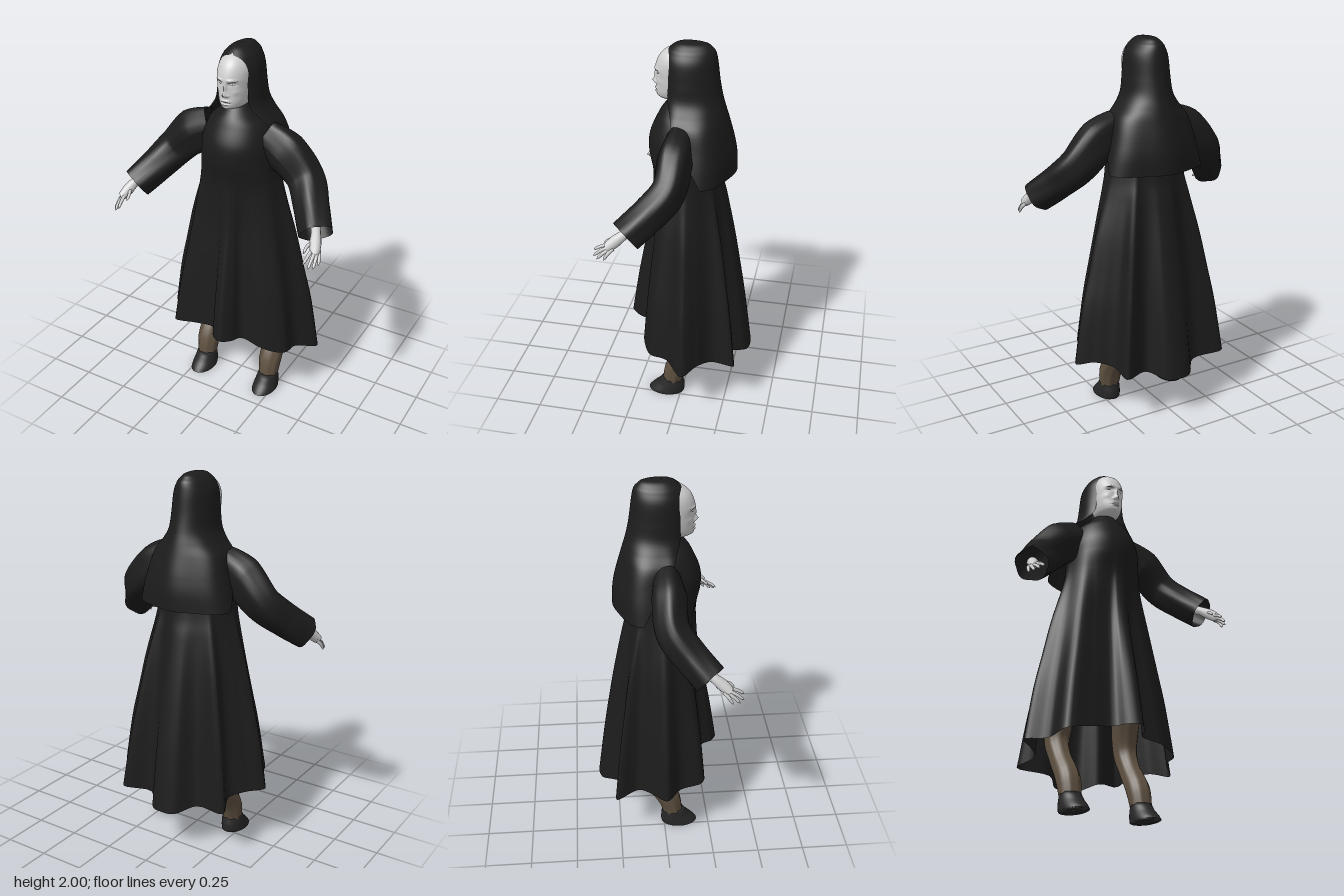
import * as THREE from 'three';
import { ParametricGeometry } from 'three/addons/geometries/ParametricGeometry.js';

const mat = (name, color, side = THREE.FrontSide) => {
  const m = new THREE.MeshStandardMaterial({ color, side });
  m.name = name;
  return m;
};

// Smooth interpolation down the rows of a cross-section table, v from 0 to 1
function sample(table, v) {
  const n = table.length - 1;
  const i = Math.min(n - 1, Math.floor(v * n));
  const t = v * n - i;
  const row = k => table[Math.max(0, Math.min(n, k))];
  return table[i].map((p1, c) => {
    const p0 = row(i - 1)[c], p2 = row(i + 1)[c], p3 = row(i + 2)[c];
    return p1 + 0.5 * t * (p2 - p0 + t * (2 * p0 - 5 * p1 + 4 * p2 - p3 + t * (3 * (p1 - p2) + p3 - p0)));
  });
}

// Tube along a path whose radius follows a list, with optional lengthwise folds
// and a depth flattening that fades out towards the end
function taperTube(points, radii, n, sides, fold = 0, count = 5, flat = 1) {
  const path = new THREE.CatmullRomCurve3(points.map(p => new THREE.Vector3(...p)));
  const geo = new THREE.TubeGeometry(path, n, 1, sides);
  const pos = geo.attributes.position;
  const p = new THREE.Vector3();
  for (let i = 0; i <= n; i++) {
    const c = path.getPointAt(i / n);
    const k = path.getUtoTmapping(i / n) * (radii.length - 1);
    const a = Math.min(radii.length - 2, Math.floor(k));
    const r = THREE.MathUtils.lerp(radii[a], radii[a + 1], k - a);
    for (let j = 0; j <= sides; j++) {
      const id = i * (sides + 1) + j;
      const f = r * (1 + fold * Math.cos(count * j / sides * Math.PI * 2 + i * 0.15));
      p.fromBufferAttribute(pos, id).sub(c).multiplyScalar(f);
      p.z *= THREE.MathUtils.lerp(flat, 1, i / n);
      p.add(c);
      pos.setXYZ(id, p.x, p.y, p.z);
    }
  }
  if (fold) geo.computeVertexNormals();
  return geo;
}

// Head cross-sections: y, half width, front depth, back depth (around z = 0.05)
const HEAD = [
  [1.975, 0.003, 0.003, 0.003], [1.965, 0.042, 0.05, 0.06], [1.935, 0.07, 0.088, 0.09],
  [1.9, 0.084, 0.108, 0.1], [1.86, 0.087, 0.118, 0.1], [1.82, 0.086, 0.112, 0.1],
  [1.78, 0.082, 0.112, 0.09], [1.74, 0.073, 0.114, 0.07], [1.715, 0.059, 0.105, 0.06],
  [1.70, 0.035, 0.07, 0.04], [1.695, 0.003, 0.003, 0.003],
];
// Facial relief: x, y, spread x, spread y, height
const RELIEF = [
  [0, 1.789, 0.011, 0.013, 0.02], [0, 1.82, 0.009, 0.025, 0.012], [0.014, 1.783, 0.008, 0.007, 0.008],
  [0.034, 1.84, 0.017, 0.01, -0.013], [0.034, 1.836, 0.01, 0.006, 0.007], [0.034, 1.862, 0.022, 0.007, 0.006],
  [0, 1.754, 0.02, 0.005, 0.008], [0, 1.736, 0.017, 0.005, 0.008], [0, 1.745, 0.022, 0.003, -0.007],
  [0, 1.714, 0.018, 0.01, 0.005], [0.05, 1.8, 0.014, 0.014, 0.004],
];
function headPoint(angle, v, out) {
  const [y, rx, zf, zb] = sample(HEAD, v);
  const c = Math.cos(angle);
  const x = rx * Math.sin(angle);
  let z = 0.05 + c * (c > 0 ? zf : zb);
  if (c > 0) for (const [bx, by, sx, sy, h] of RELIEF) {
    z += h * Math.exp(-(((Math.abs(x) - bx) / sx) ** 2) - ((y - by) / sy) ** 2);
  }
  return out.set(x, y, z);
}

// Robe cross-sections: drop, half width, front, back, fold strength
const ROBE = [
  [0, 0.06, 0.085, 0.05, 0], [0.04, 0.11, 0.13, 0.1, 0], [0.08, 0.165, 0.16, 0.13, 0],
  [0.15, 0.2, 0.198, 0.15, 0], [0.22, 0.207, 0.202, 0.16, 0.06], [0.3, 0.22, 0.182, 0.175, 0.18],
  [0.37, 0.24, 0.178, 0.196, 0.33], [0.51, 0.288, 0.187, 0.228, 0.58], [0.66, 0.328, 0.217, 0.257, 0.75],
  [0.8, 0.364, 0.245, 0.28, 0.9], [1, 0.4, 0.28, 0.31, 1],
];
// Hem outline, from the front round by the left
const HEM = [
  [0.04, 0.41, 0.315], [0.085, 0.4, 0.27], [0.115, 0.39, 0.205], [0.23, 0.37, 0.205], [0.3, 0.35, 0.18],
  [0.355, 0.34, 0.14], [0.37, 0.33, 0.05], [0.46, 0.3, -0.05], [0.38, 0.32, -0.12], [0.3, 0.3, -0.19],
  [0.29, 0.28, -0.31], [0.14, 0.26, -0.25], [0.06, 0.23, -0.345], [0, 0.23, -0.36], [-0.075, 0.23, -0.345],
  [-0.16, 0.26, -0.25], [-0.34, 0.28, -0.27], [-0.3, 0.31, -0.15], [-0.36, 0.33, -0.08], [-0.44, 0.34, 0],
  [-0.35, 0.34, 0.08], [-0.32, 0.36, 0.205], [-0.18, 0.39, 0.212], [-0.06, 0.41, 0.22], [-0.015, 0.41, 0.29],
];
const ellipse = (a, rx, zf, zb) => 1 / Math.hypot(Math.sin(a) / rx, Math.cos(a) / (Math.cos(a) > 0 ? zf : zb));
function robeGeometry() {
  const hem = new THREE.CatmullRomCurve3(HEM.map(p => new THREE.Vector3(...p)), true);
  return new ParametricGeometry((u, v, out) => {
    const h = hem.getPoint(1 - u);
    const a = Math.atan2(h.x, h.z);
    const [t, rx, zf, zb, w] = sample(ROBE, v);
    const bulge = Math.hypot(h.x, h.z) / ellipse(a, 0.4, 0.28, 0.31) - 1;
    const r = ellipse(a, rx, zf, zb) * (1 + bulge * w);
    out.set(r * Math.sin(a), 1.715 - (1.715 - h.y) * t, r * Math.cos(a));
  }, 125, 50);
}

// Veil cross-sections: y, half width, back, front, angle of the opening
const VEIL = [
  [2, 0.002, 0.002, 0.002, 0], [1.994, 0.04, 0.09, 0.055, 0], [1.972, 0.068, 0.122, 0.09, 0.05],
  [1.95, 0.085, 0.137, 0.11, 0.52], [1.9, 0.106, 0.147, 0.125, 0.78], [1.8, 0.117, 0.16, 0.125, 0.8],
  [1.72, 0.127, 0.175, 0.125, 0.8], [1.66, 0.16, 0.19, 0.12, 1], [1.6, 0.205, 0.205, 0.12, 1.2],
  [1.5, 0.235, 0.23, 0.1, 1.55], [1.42, 0.258, 0.243, 0.1, 1.8], [1.33, 0.28, 0.245, 0.1, 2],
];
function veilGeometry() {
  return new ParametricGeometry((u, v, out) => {
    const [y, rx, zb, zf, edge] = sample(VEIL, v);
    const open = Math.max(0, edge);
    const a = -THREE.MathUtils.lerp(open, Math.PI * 2 - open, u);
    const c = Math.cos(a);
    const drape = THREE.MathUtils.smoothstep(1.8 - y, 0, 0.3);
    const f = 1 + drape * (0.035 * Math.cos(6 * a) + 0.07 * Math.sin(2 * a) ** 2);
    out.set(rx * Math.sin(a) * f, y, c * (c > 0 ? zf : zb) * f);
  }, 72, 44);
}

// Hoof cross-sections: y, half width, centre z, half length
const HOOF = [[0.095, 0.002, 0.05, 0.002], [0.09, 0.053, 0.05, 0.056], [0.055, 0.06, 0.058, 0.073],
  [0.02, 0.066, 0.076, 0.093], [0, 0.067, 0.086, 0.1], [0, 0.002, 0.086, 0.002]];

export function createModel() {
  const cloth = mat('black cloth', 0x1c1c1c, THREE.DoubleSide);
  const skin = mat('pale skin', 0xcfcfcf);
  const fur = mat('brown legs', 0x5f5141);
  const horn = mat('dark hoof', 0x262626);
  const line = mat('brow grey', 0x3c3c3c, THREE.DoubleSide);

  const model = new THREE.Group();
  const add = (name, geo, m, parent = model) => {
    const mesh = new THREE.Mesh(geo, m);
    mesh.name = name;
    parent.add(mesh);
    return mesh;
  };

  add('robe', robeGeometry(), cloth);
  add('veil', veilGeometry(), cloth);
  add('head', new ParametricGeometry((u, v, o) => headPoint(-u * Math.PI * 2, v, o), 128, 110), skin);
  add('neck', new THREE.CylinderGeometry(0.05, 0.055, 0.14, 24), skin).position.set(0, 1.68, 0.03);

  for (const s of [1, -1]) {
    const side = s > 0 ? 'left' : 'right';
    const P = list => list.map(([x, y, z]) => [x * s, y, z]);

    // Brow and eye line lying on the face
    const strip = (a0, a1, v0, v1, w) => new ParametricGeometry((u, v, o) => {
      const taper = w * Math.sin(Math.PI * (0.12 + 0.85 * u));
      headPoint(s * (a0 + (a1 - a0) * u), v0 + (v1 - v0) * u + taper * (v - 0.5), o);
      o.z += 0.0015;
    }, 14, 2);
    add(side + 'Brow', strip(0.16, 0.8, 0.424, 0.402, 0.01), line);
    add(side + 'EyeLine', strip(0.24, 0.58, 0.458, 0.452, 0.008), line);

    // Sleeve
    add(side + 'Sleeve', taperTube(
      P([[0.15, 1.54, 0.015], [0.26, 1.482, 0.017], [0.38, 1.365, 0.027], [0.46, 1.27, 0.11], [0.533, 1.187, 0.2]]),
      [0.1, 0.118, 0.1, 0.09, 0.085], 28, 30, 0.05, 5, 0.66), cloth);

    // Hand
    const hand = new THREE.Group();
    hand.name = side + 'Hand';
    model.add(hand);
    add('palm', taperTube(
      P([[0.5, 1.23, 0.15], [0.535, 1.195, 0.21], [0.553, 1.165, 0.25], [0.568, 1.135, 0.285], [0.572, 1.125, 0.295]]),
      [0.024, 0.024, 0.03, 0.025, 0.004], 14, 12), skin, hand);
    const fingers = {
      thumb: [[0.545, 1.175, 0.245], [0.525, 1.155, 0.285], [0.522, 1.13, 0.315]],
      index: [[0.553, 1.147, 0.28], [0.548, 1.123, 0.33], [0.543, 1.1, 0.362]],
      middle: [[0.566, 1.14, 0.275], [0.569, 1.11, 0.325], [0.568, 1.08, 0.358]],
      ring: [[0.573, 1.135, 0.268], [0.583, 1.105, 0.308], [0.585, 1.073, 0.337]],
      little: [[0.575, 1.137, 0.255], [0.592, 1.108, 0.282], [0.596, 1.077, 0.3]],
    };
    for (const [name, pts] of Object.entries(fingers)) {
      add(name, taperTube(P(pts), [0.011, 0.01, 0.009, 0.009, 0.008, 0.008, 0.007, 0.001], 14, 8), skin, hand);
    }

    // Backward-bent leg and hoof
    add(side + 'Leg', taperTube(
      P([[0.17, 0.85, 0], [0.19, 0.6, -0.06], [0.207, 0.4, -0.095], [0.207, 0.29, -0.05], [0.205, 0.17, 0.026], [0.205, 0.065, 0.052]]),
      [0.085, 0.08, 0.063, 0.057, 0.062, 0.053], 26, 32, 0.035, 8), fur);
    add(side + 'Hoof', new ParametricGeometry((u, v, o) => {
      const i = Math.min(4, Math.floor(v * 5 + 1e-6));
      const [y, rx, cz, rz] = HOOF[i].map((p, c) => THREE.MathUtils.lerp(p, HOOF[i + 1][c], v * 5 - i));
      const a = -u * Math.PI * 2;
      o.set(s * 0.205 + rx * Math.sin(a), y, cz + rz * Math.cos(a));
    }, 28, 10), horn);
  }
  return model;
}
